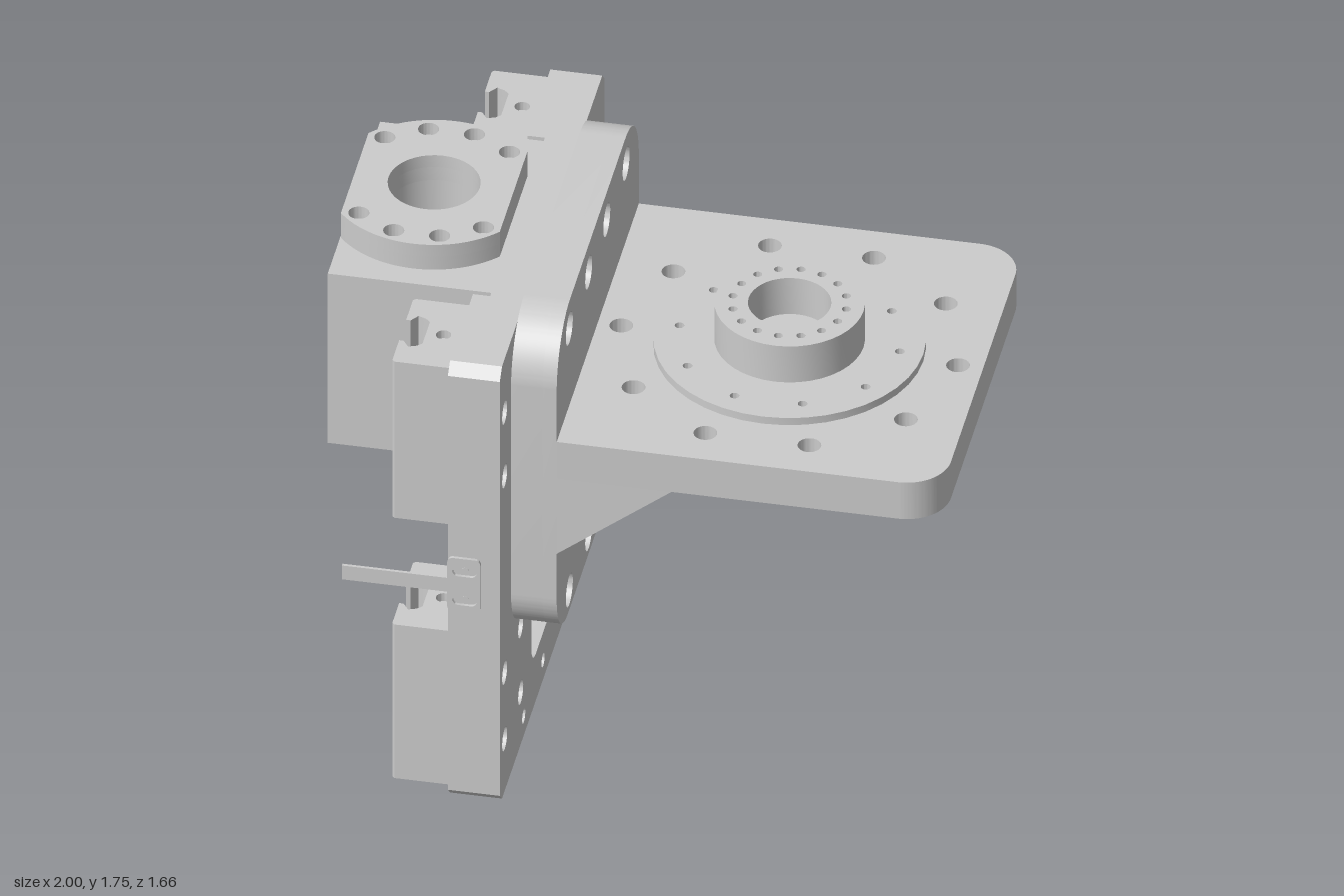
import * as THREE from 'three';
import { toCreasedNormals } from 'three/addons/utils/BufferGeometryUtils.js';

const material = new THREE.MeshStandardMaterial({ color: 0xcccccc });

// Outlines
const poly = (pts) => new THREE.Shape(pts.map(([a, b]) => new THREE.Vector2(a, b)));

function roundRect(x0, y0, x1, y1, bl, br = bl, tr = br, tl = bl) {
  const s = new THREE.Shape();
  s.moveTo(x0 + bl, y0);
  s.lineTo(x1 - br, y0);
  if (br) s.absarc(x1 - br, y0 + br, br, -Math.PI / 2, 0);
  s.lineTo(x1, y1 - tr);
  if (tr) s.absarc(x1 - tr, y1 - tr, tr, 0, Math.PI / 2);
  s.lineTo(x0 + tl, y1);
  if (tl) s.absarc(x0 + tl, y1 - tl, tl, Math.PI / 2, Math.PI);
  s.lineTo(x0, y0 + bl);
  if (bl) s.absarc(x0 + bl, y0 + bl, bl, Math.PI, Math.PI * 1.5);
  return s;
}

function circle(x, y, r) {
  const s = new THREE.Shape();
  s.absarc(x, y, r, 0, Math.PI * 2);
  return s;
}

const drill = (shape, centres, r) => {
  centres.forEach(([x, y]) => shape.holes.push(circle(x, y, r)));
  return shape;
};

const ring = (cx, cy, r, n) => Array.from({ length: n }, (_, i) => {
  const a = (i / n) * Math.PI * 2;
  return [cx + r * Math.cos(a), cy + r * Math.sin(a)];
});

const grid = (us, vs) => us.flatMap((u) => vs.map((v) => [u, v]));

export function createModel() {
  const model = new THREE.Group();
  const body = new THREE.Group();
  body.name = 'stageAssembly';
  body.position.z = -0.005;
  model.add(body);

  // Extrude an outline along x (outline u = -z), y (outline v = -z) or z
  function slab(name, shape, axis, from, to) {
    let g = new THREE.ExtrudeGeometry(shape, { depth: to - from, bevelEnabled: false, curveSegments: 20 });
    g.translate(0, 0, from);
    if (axis === 'x') g.rotateY(Math.PI / 2);
    if (axis === 'y') g.rotateX(-Math.PI / 2);
    g = toCreasedNormals(g, 0.5);
    const mesh = new THREE.Mesh(g, material);
    mesh.name = name;
    body.add(mesh);
    return mesh;
  }

  const boltU = [-0.4475, -0.1425, 0.1425, 0.4475];
  const boltY = [0.58, 1.08, 1.585];
  const portholes = [[-0.2525, 0.83], [0.2525, 0.83]];

  // Back plate, in two layers so the screw holes are counterbored
  const sideBolts = [
    ...grid([-0.7475, 0.7475], [0.2, 0.455, 1.21, 1.455]),
    ...grid([-0.495, 0.495], [0.2, 0.455]),
  ];
  [[-0.48, -0.42, 0.025], [-0.42, -0.37, 0.04]].forEach(([x0, x1, r]) => {
    const s = poly([[-0.79, 0], [0.79, 0], [0.825, 0.035], [0.825, 1.625],
      [0.79, 1.66], [-0.79, 1.66], [-0.825, 1.625], [-0.825, 0.035]]);
    s.holes.push(roundRect(-0.3275, 0.18, 0.3275, 0.475, 0.07));
    drill(s, portholes, 0.145);
    drill(s, grid(boltU, [0.075, ...boltY]), 0.025);
    drill(s, sideBolts, r);
    slab('backPlate', s, 'x', x0, x1);
  });

  // Raised side strips of the back plate, leaving a central channel
  for (const side of [-1, 1]) {
    const s = poly([[0.43, 0], [0.79, 0], [0.825, 0.035], [0.825, 1.625], [0.79, 1.66], [0.43, 1.66]]);
    [...boltY].reverse().concat(0.075).forEach((y) => {
      s.lineTo(0.43, y + 0.035);
      s.absarc(0.43, y, 0.035, Math.PI / 2, -Math.PI / 2, true);
    });
    const pts = s.getPoints(10).map((p) => [p.x * side, p.y]);
    slab('backPlateStrip', poly(pts), 'x', -0.535, -0.48);
  }

  // Upright of the angle bracket, counterbored
  [[-0.37, -0.27, 0.03], [-0.27, -0.225, 0.055]].forEach(([x0, x1, r]) => {
    const s = roundRect(-0.6475, 0.505, 0.6475, 1.69, 0.18, 0.18, 0.21, 0.21);
    drill(s, portholes, 0.145);
    drill(s, grid(boltU, boltY), r);
    slab('bracketUpright', s, 'x', x0, x1);
  });

  // Shelf with its ring of holes
  const cx = 0.385;
  const shelf = roundRect(-0.225, -0.6475, 1, 0.6475, 0, 0.14, 0.14, 0);
  drill(shelf, ring(cx, 0, 0.535, 10), 0.037);
  drill(shelf, ring(cx, 0, 0.35, 10), 0.015);
  drill(shelf, [[cx, 0]], 0.055);
  slab('shelf', shelf, 'y', 1.15, 1.29);

  // Gussets under the shelf
  for (const z of [-0.6475, 0.5125]) {
    slab('gusset', poly([[-0.225, 0.86], [0.14, 1.15], [-0.225, 1.15]]), 'z', z, z + 0.135);
  }

  // Round table, hub and underside pad
  const disc = drill(circle(cx, 0, 0.425), ring(cx, 0, 0.35, 10), 0.015);
  slab('tableDisc', drill(disc, [[cx, 0]], 0.055), 'y', 1.29, 1.317);
  const hub = drill(circle(cx, 0, 0.235), ring(cx, 0, 0.18, 16), 0.014);
  slab('tableHub', drill(hub, [[cx, 0]], 0.13), 'y', 1.317, 1.455);
  const pad = roundRect(cx - 0.117, -0.117, cx + 0.117, 0.117, 0.02);
  slab('undersidePad', drill(pad, [[cx, 0]], 0.055), 'y', 1.14, 1.15);

  // Bored rear block seated in the channel
  const bx = -0.745;
  const block = poly([[-1, -0.4125], [-0.48, -0.4125], [-0.48, 0.4125], [-1, 0.4125]]);
  slab('rearBlock', drill(block, [[bx, 0]], 0.145), 'y', 1.01, 1.66);

  // Flange on the block: a disc with two flats and counterbored screws
  const a = Math.acos(0.2525 / 0.333);
  const screws = grid([-1, 1], [-1, 1]).flatMap(([u, v]) => [
    [bx + u * 0.198, v * 0.205], [bx + u * 0.073, v * 0.275]]);
  [[1.66, 1.71, 0.02], [1.71, 1.755, 0.033]].forEach(([y0, y1, r]) => {
    const s = new THREE.Shape();
    s.absarc(bx, 0, 0.333, a, Math.PI - a);
    s.absarc(bx, 0, 0.333, Math.PI + a, 2 * Math.PI - a);
    drill(s, [[bx, 0]], 0.145);
    slab('blockFlange', drill(s, screws, r), 'y', y0, y1);
  });

  // Four rail carriages, each with an undercut slot facing away from the plate
  const half = [[-0.535, 0.17], [-0.712, 0.17], [-0.72, 0.162], [-0.72, 0.055],
    [-0.706, 0.055], [-0.686, 0.083], [-0.66, 0.073], [-0.645, 0.058]];
  for (const v of [-0.62, 0.62]) {
    for (const [y0, y1] of [[0.03, 0.62], [1.03, 1.63]]) {
      const pts = [...half, ...half.map(([x, w]) => [x, -w]).reverse()];
      const at = (list) => list.map(([x, w]) => [x, w + v]);
      slab('railCarriage', poly(at(pts)), 'y', y0 + 0.03, y1 - 0.03);
      // end caps with a grease hole
      for (const y of [y0, y1 - 0.03]) {
        slab('carriageEndCap', drill(poly(at(pts)), [[-0.59, v]], 0.024), 'y', y, y + 0.03);
      }
    }
  }

  // Thin side tab with two slots and a long pointer
  const tab = roundRect(-0.535, 0.73, -0.43, 0.935, 0.018);
  for (const y of [0.775, 0.885]) {
    tab.holes.push(roundRect(-0.518, y - 0.018, -0.442, y + 0.018, 0.0175));
    // small screws on both plate ends
    for (const z of [-0.825, 0.825]) slab('endScrew', circle(-0.48, y, 0.011), 'z', z - 0.002, z + 0.002);
  }
  slab('sideTab', tab, 'z', 0.825, 0.835);
  slab('pointer', roundRect(-0.87, 0.803, -0.53, 0.856, 0), 'z', 0.825, 0.835);

  return model;
}
